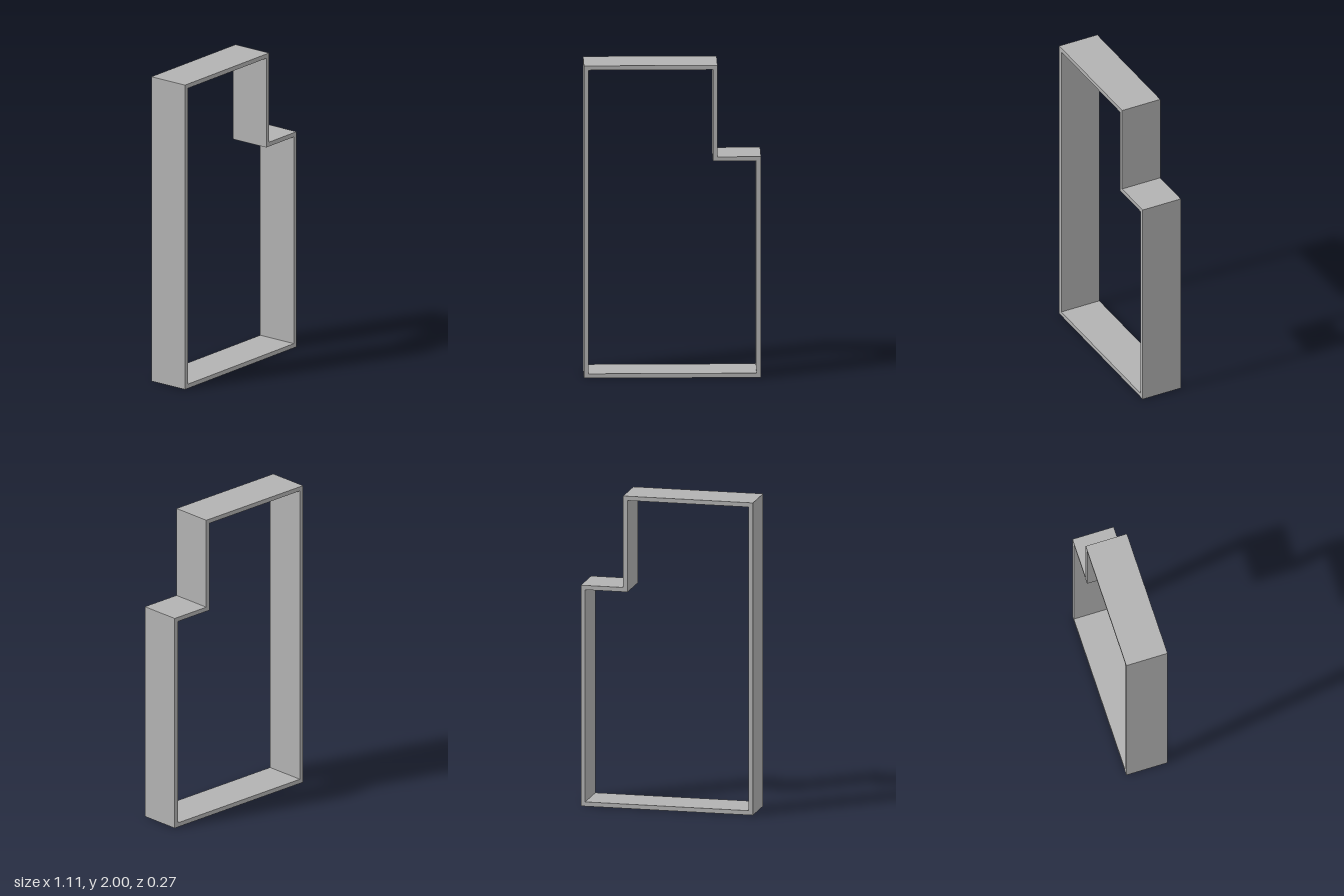
import * as THREE from 'three';

const DEPTH = 0.27;
const WALL = 0.028;

// Stepped outline, inset by a distance from the outer edge
function outline(inset) {
  const side = 0.553 - inset, stepX = 0.281 - inset, stepY = 1.414 - inset;
  return [
    [-side, inset], [side, inset], [side, stepY],
    [stepX, stepY], [stepX, 2 - inset], [-side, 2 - inset],
  ].map(([x, y]) => new THREE.Vector2(x, y));
}

export function createModel() {
  const grey = new THREE.MeshStandardMaterial({ color: 0xb2b2b2 });
  grey.name = 'grey';

  // Hollow frame, open at front and back
  const shape = new THREE.Shape(outline(0));
  shape.holes.push(new THREE.Path(outline(WALL).reverse()));
  const geometry = new THREE.ExtrudeGeometry(shape, { depth: DEPTH, bevelEnabled: false });
  geometry.translate(0, 0, -DEPTH / 2);

  const frame = new THREE.Mesh(geometry, grey);
  frame.name = 'steppedFrame';

  const model = new THREE.Group();
  model.name = 'steppedOpeningFrame';
  model.add(frame);
  return model;
}
